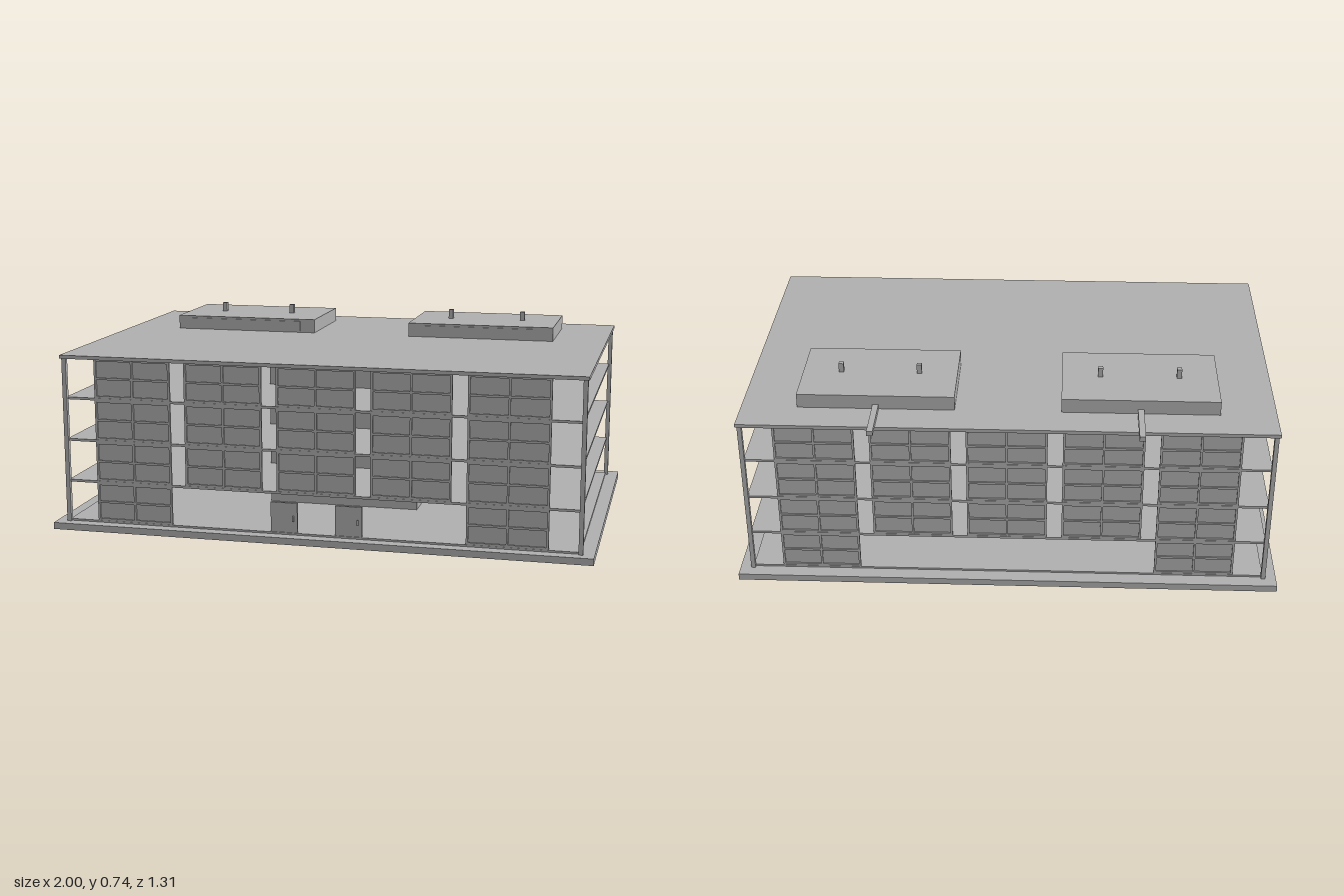
import * as THREE from 'three';

export function createModel() {
  const model = new THREE.Group();
  model.name = 'officeBuilding';
  const concrete = new THREE.MeshStandardMaterial({ color: 0xb0b0b0 });
  concrete.name = 'concrete grey';

  // Box given by its limits on each axis
  function box(name, x0, x1, y0, y1, z0, z1, parent = model) {
    const mesh = new THREE.Mesh(new THREE.BoxGeometry(x1 - x0, y1 - y0, z1 - z0), concrete);
    mesh.position.set((x0 + x1) / 2, (y0 + y1) / 2, (z0 + z1) / 2);
    mesh.name = name;
    parent.add(mesh);
    return mesh;
  }

  // Base, floors and roof
  const levels = [0.032, 0.184, 0.34, 0.497];
  const ceilings = [0.175, 0.331, 0.488, 0.642];
  box('basePlate', -1, 1, 0, 0.025, -0.63, 0.655);
  box('groundFloor', -0.95, 0.95, 0.025, 0.032, -0.575, 0.61);
  for (let i = 1; i < 4; i++) {
    box('floorSlab', -0.95, 0.95, ceilings[i - 1], levels[i], -0.575, 0.61);
  }
  box('roofSlab', -0.965, 0.965, 0.642, 0.655, -0.595, 0.627);

  // Inner core, one storey at a time
  levels.forEach((y, i) => box('core', -0.29, 0.29, y, ceilings[i], -0.163, 0.193));

  // Corner columns
  for (const x of [-0.952, 0.952]) {
    for (const z of [-0.578, 0.612]) {
      box('column', x - 0.008, x + 0.008, 0.025, 0.642, z - 0.008, z + 0.008);
    }
  }

  // Window: a pane in a two by two frame, facing +z
  function makeWindow(w, h) {
    const g = new THREE.Group();
    g.name = 'window';
    const bar = 0.004;
    box('pane', -w / 2, w / 2, 0, h, -0.003, 0, g);
    for (const x of [-w / 2 + bar, 0, w / 2 - bar]) {
      box('mullion', x - bar, x + bar, 0, h, 0, 0.006, g);
    }
    for (const y of [bar, h / 2, h - bar]) {
      box('frameRail', -w / 2, w / 2, y - bar, y + bar, 0, 0.0055, g);
    }
    return g;
  }

  // Five bays front and back; only the end bays are glazed at ground level
  for (const side of [1, -1]) {
    for (let bay = -2; bay <= 2; bay++) {
      levels.forEach((y, storey) => {
        if (storey === 0 && Math.abs(bay) < 2) return;
        const win = makeWindow(0.292, ceilings[storey] - y);
        win.position.set(bay * 0.3465, y, side > 0 ? 0.603 : -0.568);
        if (side < 0) win.rotation.y = Math.PI;
        model.add(win);
      });
    }
  }

  // Entrance doors with handles
  for (const x of [-0.12, 0.12]) {
    const door = new THREE.Group();
    door.name = 'door';
    box('doorLeaf', -0.05, 0.05, 0.032, 0.143, 0.596, 0.606, door);
    box('doorHandle', 0.032, 0.038, 0.075, 0.095, 0.606, 0.612, door);
    door.position.x = x;
    model.add(door);
  }

  // Rooftop plant units with vent plate, stub posts and duct to the rear
  for (const x of [-0.477, 0.477]) {
    const unit = new THREE.Group();
    unit.name = 'rooftopUnit';
    box('unitHousing', -0.285, 0.285, 0.655, 0.708, -0.465, -0.109, unit);
    box('ventPlate', -0.227, 0.227, 0.661, 0.7, -0.109, -0.104, unit);
    for (const px of [-0.144, 0.144]) {
      box('stubPost', px - 0.009, px + 0.009, 0.708, 0.743, -0.294, -0.276, unit);
    }
    box('duct', -0.011, 0.011, 0.655, 0.673, -0.655, -0.465, unit);
    unit.position.x = x;
    model.add(unit);
  }

  return model;
}
